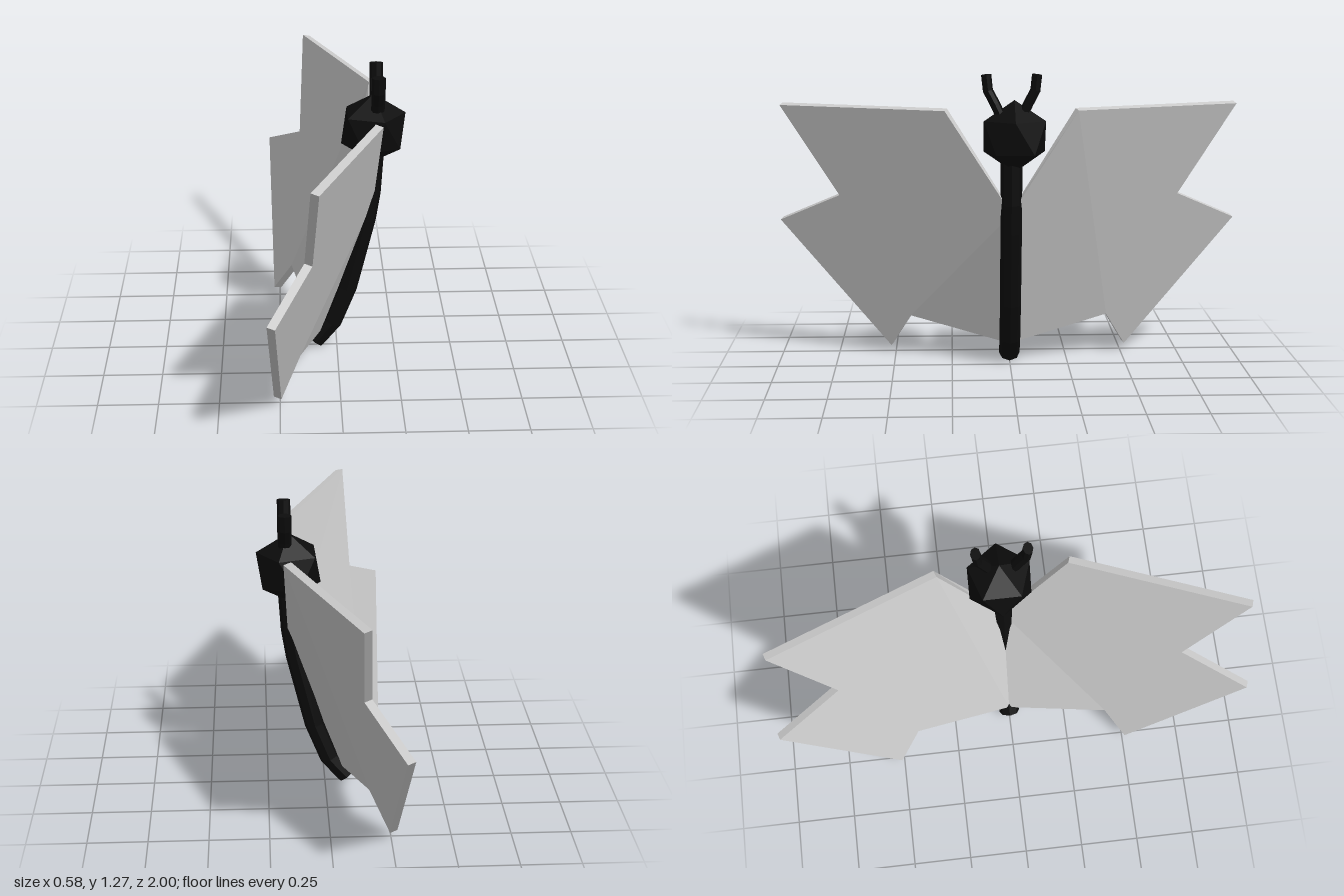
import * as THREE from 'three';

const dark = new THREE.MeshStandardMaterial({ color: 0x0c0c0c, flatShading: true });
const grey = new THREE.MeshStandardMaterial({ color: 0xcccccc, flatShading: true });
const V = (x, y, z) => new THREE.Vector3(x, y, z);

// Capped rod along a planar path; side is the fixed normal of that plane
function rod(path, side, rx, rz, sides) {
  const last = path.length - 1;
  const geo = new THREE.CylinderGeometry(1, 1, 1, sides, last);
  const pos = geo.attributes.position;
  for (let k = 0; k < pos.count; k++) {
    const i = Math.round((pos.getY(k) + 0.5) * last);
    const tangent = path[Math.min(i + 1, last)].clone().sub(path[Math.max(i - 1, 0)]).normalize();
    const normal = tangent.clone().cross(side);
    const p = path[i].clone()
      .addScaledVector(normal, pos.getX(k) * rx)
      .addScaledVector(side, pos.getZ(k) * rz);
    pos.setXYZ(k, p.x, p.y, p.z);
  }
  geo.computeVertexNormals();
  return geo;
}

// Wing outline as [distance from body, height], swept back and leaning
const outline = [
  [0, 0.08], [0.43, 0.185], [0.52, 0.03], [1, 0.6],
  [0.73, 0.73], [0.975, 1.122], [0.275, 1.122], [0, 0.69],
];

function wing(s) {
  const shape = new THREE.Shape(outline.map(([d, y]) => new THREE.Vector2(-s * d, y)));
  const geo = new THREE.ExtrudeGeometry(shape, { depth: 1, bevelEnabled: false });
  const pos = geo.attributes.position;
  for (let k = 0; k < pos.count; k++) {
    const d = Math.abs(pos.getX(k)), y = pos.getY(k), back = 1 - pos.getZ(k);
    const tailBend = d < 0.01 && y < 0.1 ? 0.038 : 0;
    const x = -0.051 + 0.299 * y - 0.39 * d - tailBend - 0.031 * back;
    const z = s * (d > 0 ? d - 0.01 * back : 0);
    pos.setXYZ(k, x, y + 0.008 * back, z);
  }
  geo.computeVertexNormals();
  return geo;
}

export function createModel() {
  const group = new THREE.Group();
  const add = (name, geo, mat) => {
    const mesh = new THREE.Mesh(geo, mat);
    mesh.name = name;
    group.add(mesh);
    return mesh;
  };

  // Curved body, tail to neck
  const spine = [
    V(-0.095, 0.033, 0), V(-0.022, 0.12, 0), V(0.043, 0.285, 0),
    V(0.122, 0.61, 0), V(0.141, 0.73, 0), V(0.155, 0.95, 0),
  ];
  add('body', rod(spine, V(0, 0, 1), 0.045, 0.045, 8), dark);

  // Faceted head, standing on a vertex
  const headGeo = new THREE.IcosahedronGeometry(0.15, 0);
  headGeo.rotateZ(-Math.atan(2 / (1 + Math.sqrt(5))));
  add('head', headGeo, dark).position.set(0.152, 1.014, -0.0125);

  // Wings and antennae on both sides
  for (const s of [1, -1]) {
    const sideName = s > 0 ? 'front' : 'back';
    add(sideName + 'Wing', wing(s), grey);
    const feeler = [
      V(0.167, 1.1, s * 0.045), V(0.167, 1.15, s * 0.068),
      V(0.167, 1.205, s * 0.097), V(0.167, 1.27, s * 0.104),
    ];
    add(sideName + 'Antenna', rod(feeler, V(1, 0, 0), 0.021, 0.028, 8), dark);
  }
  return group;
}
